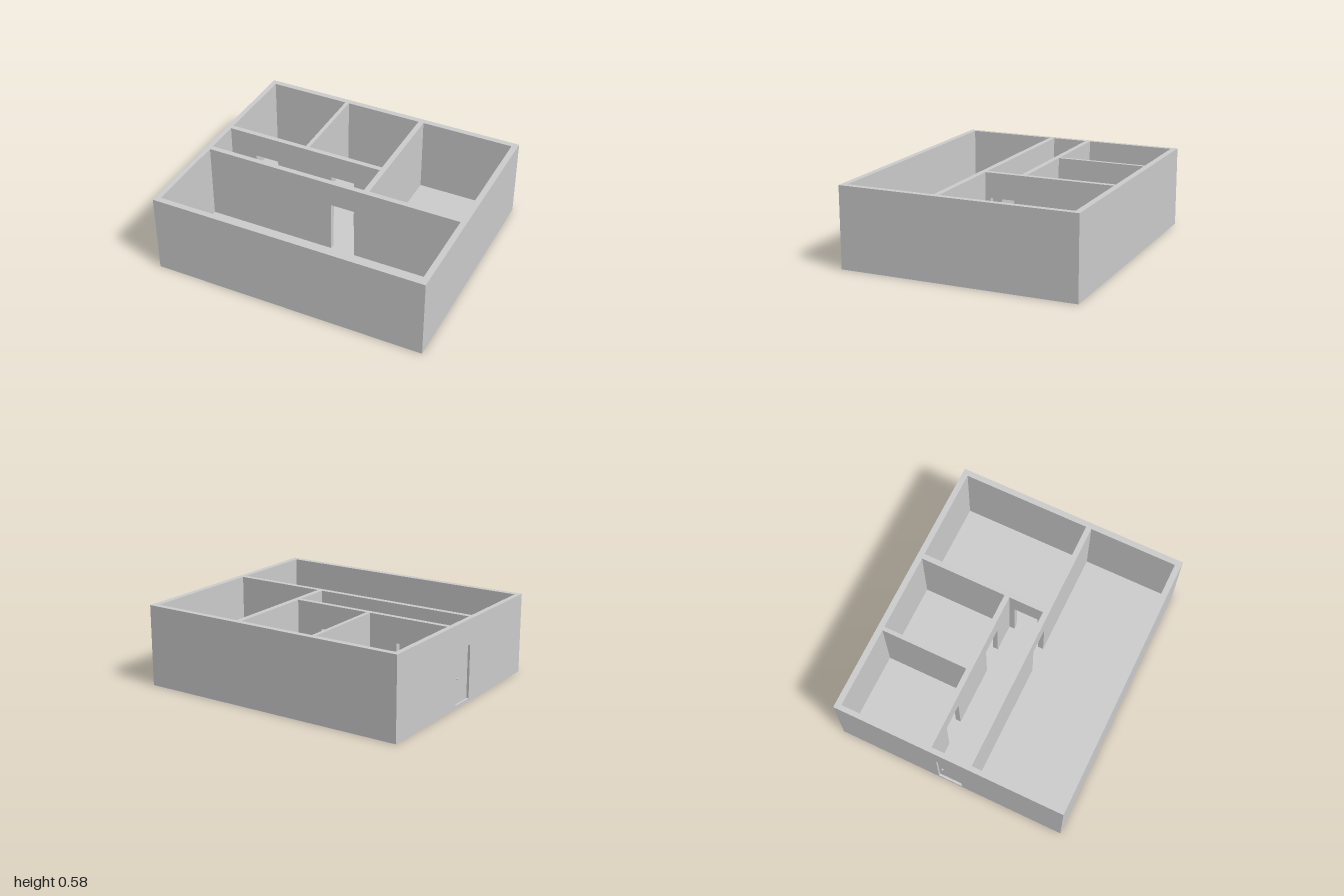
import * as THREE from 'three';

const W = 1, D = 0.855, H = 0.585;     // half width, half depth, wall height
const FLOOR = 0.02;                    // floor slab thickness
const DOOR_W = 0.18, DOOR_TOP = 0.405;

export function createModel() {
  const model = new THREE.Group();
  const material = new THREE.MeshStandardMaterial({ color: 0xcccccc, flatShading: true });

  function add(name, geometry, x, y, z) {
    const mesh = new THREE.Mesh(geometry, material);
    mesh.name = name;
    mesh.position.set(x, y, z);
    model.add(mesh);
    return mesh;
  }

  // Wall elevation from a to b, with a doorway notch cut out for each door centre
  function elevation(a, b, doors) {
    const shape = new THREE.Shape();
    shape.moveTo(a, FLOOR);
    for (const c of doors) {
      shape.lineTo(c - DOOR_W / 2, FLOOR);
      shape.lineTo(c - DOOR_W / 2, DOOR_TOP);
      shape.lineTo(c + DOOR_W / 2, DOOR_TOP);
      shape.lineTo(c + DOOR_W / 2, FLOOR);
    }
    shape.lineTo(b, FLOOR);
    shape.lineTo(b, H);
    shape.lineTo(a, H);
    shape.closePath();
    return shape;
  }

  // Wall running along x, filling z0..z1
  function wallX(name, x0, x1, z0, z1, doors = []) {
    const geo = new THREE.ExtrudeGeometry(elevation(x0, x1, doors), { depth: z1 - z0, bevelEnabled: false });
    add(name, geo, 0, 0, z0);
  }

  // Wall running along z, filling x0..x1
  function wallZ(name, z0, z1, x0, x1, doors = []) {
    const geo = new THREE.ExtrudeGeometry(elevation(z0, z1, doors), { depth: x1 - x0, bevelEnabled: false });
    geo.rotateY(-Math.PI / 2);
    add(name, geo, x1, 0, 0);
  }

  // Floor slab
  add('floor', new THREE.BoxGeometry(2 * W, FLOOR, 2 * D), 0, FLOOR / 2, 0);

  // Outer walls
  wallX('frontWall', -W, W, 0.812, D);
  wallX('backWall', -W, W, -D, -0.812);
  wallZ('leftWall', -0.812, 0.812, 0.957, W);
  wallZ('entranceWall', -0.812, 0.812, -W, -0.963, [0]);

  // Partitions
  wallX('mainRoomPartition', -0.963, 0.957, 0.128, 0.168, [0.09]);
  wallX('hallPartition', -0.963, 0.233, -0.168, -0.13, [-0.668, -0.055]);
  wallZ('backRoomPartition', -0.812, -0.168, -0.366, -0.337);
  wallZ('sideRoomPartition', -0.812, 0.128, 0.233, 0.273, [0]);

  // Entrance door, set back in its opening, with a knob on each face
  const doorH = DOOR_TOP - FLOOR;
  add('entranceDoor', new THREE.BoxGeometry(0.014, doorH, DOOR_W), -0.976, FLOOR + doorH / 2, 0);
  for (const side of [-1, 1]) {
    add('doorKnob', new THREE.SphereGeometry(0.008, 16, 12), -0.976 + side * 0.012, 0.2, -0.06);
  }
  return model;
}
